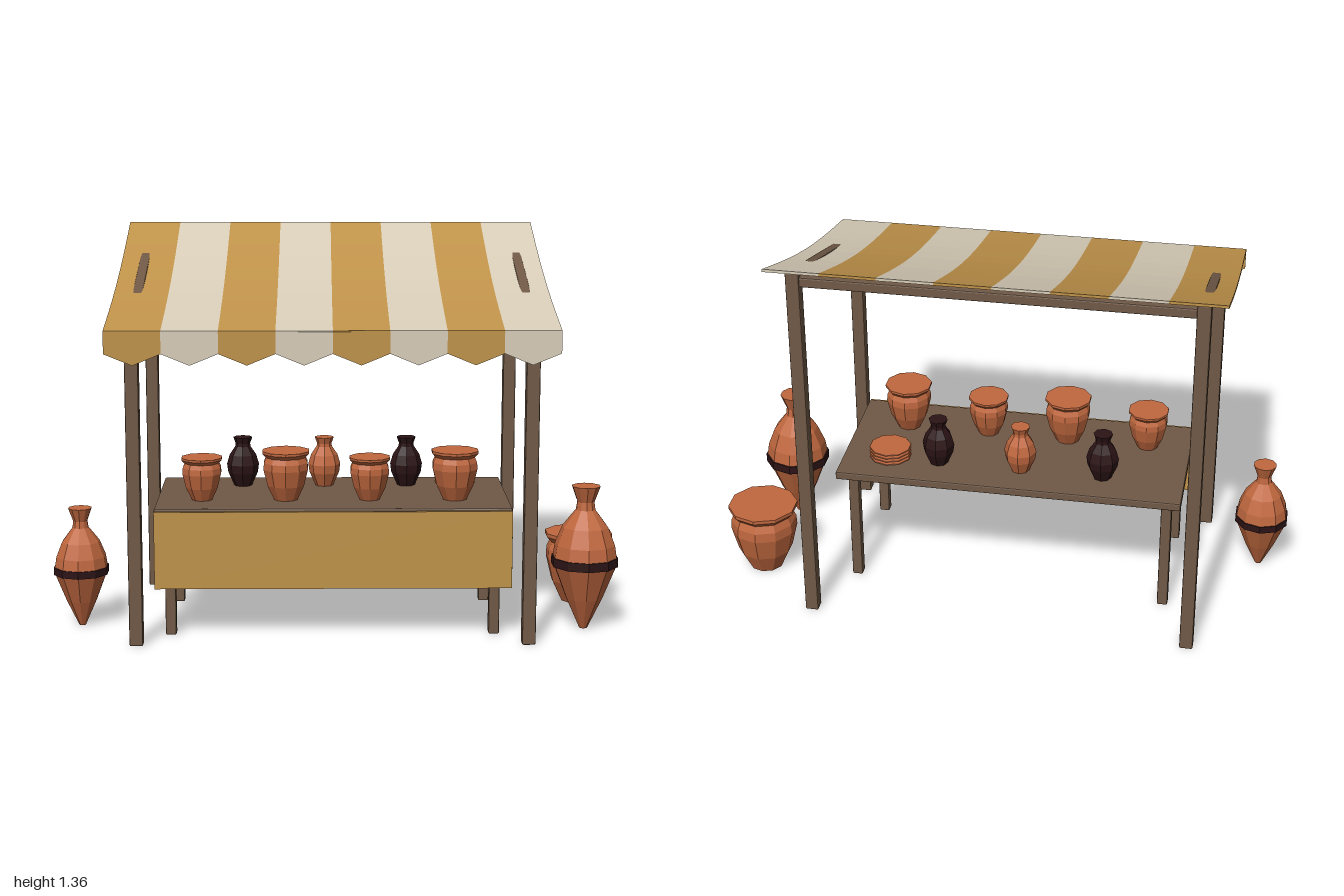
import * as THREE from 'three';
import { RoundedBoxGeometry } from 'three/addons/geometries/RoundedBoxGeometry.js';

const mat = (name, color) => {
  const m = new THREE.MeshStandardMaterial({ color, flatShading: true });
  m.name = name;
  return m;
};

export function createModel() {
  const wood = mat('wood', 0x705946);
  const ochre = mat('ochre cloth', 0xc0934a);
  const cream = mat('cream cloth', 0xd8cdb8);
  const clay = mat('terracotta', 0xc0683f);
  const dark = mat('dark glaze', 0x2c1416);

  const model = new THREE.Group();
  model.name = 'potteryStall';
  const add = (name, geometry, material, x = 0, y = 0, z = 0, parent = model) => {
    const mesh = new THREE.Mesh(geometry, material);
    mesh.name = name;
    mesh.position.set(x, y, z);
    parent.add(mesh);
    return mesh;
  };
  // Beam with chamfered edges
  const beam = (name, w, h, d, x, y, z) =>
    add(name, new RoundedBoxGeometry(w, h, d, 1, 0.005), wood, x, y, z);

  const CX = -0.03; // middle of the stall

  // Frame: posts, sloping side rails, cross rails
  for (const s of [-1, 1]) {
    const x = CX + s * 0.663;
    beam('frontPost', 0.046, 1.095, 0.046, x, 0.5475, 0.377);
    beam('backPost', 0.046, 1.325, 0.046, x, 0.6625, -0.42);
    beam('sideRail', 0.035, 0.035, 0.828, x, 1.1893, -0.022).rotation.x = 0.281;
  }
  beam('frontRail', 1.326, 0.035, 0.035, CX, 1.073, 0.377);
  beam('backRail', 1.326, 0.035, 0.035, CX, 1.29, -0.42);

  // Sagging awning in alternating stripes, with a pointed valance
  const STRIPES = 8, LEFT = -0.772, W = 1.484 / STRIPES, SEG = 10;
  const roofY = (z) => 1.2175 - 0.275 * z - 0.025 * Math.cos(Math.PI * z);
  const top = [], under = [];
  for (let i = 0; i <= SEG; i++) {
    const z = 0.5 - i / SEG;
    top.push(new THREE.Vector2(-z, roofY(z) + 0.005));
    under.unshift(new THREE.Vector2(-z, roofY(z) - 0.005));
  }
  const roofShape = new THREE.Shape([...top, ...under]);
  const roofGeo = new THREE.ExtrudeGeometry(roofShape, { depth: W, bevelEnabled: false });
  roofGeo.rotateY(Math.PI / 2);
  const flapShape = new THREE.Shape([
    new THREE.Vector2(0, 1.082), new THREE.Vector2(0, 1.01),
    new THREE.Vector2(W / 2, 0.972), new THREE.Vector2(W, 1.01),
    new THREE.Vector2(W, 1.082),
  ]);
  const flapGeo = new THREE.ExtrudeGeometry(flapShape, { depth: 0.008, bevelEnabled: false });
  for (let i = 0; i < STRIPES; i++) {
    const cloth = i % 2 ? cream : ochre;
    add('awningStripe', roofGeo, cloth, LEFT + i * W);
    add('valanceFlap', flapGeo, cloth, LEFT + i * W, 0, 0.494);
  }

  // Table with a cloth hanging at the front
  beam('tableTop', 1.218, 0.03, 0.525, CX + 0.003, 0.435, 0.03);
  for (const x of [-0.585, 0.526])
    for (const z of [0.246, -0.182]) beam('tableLeg', 0.037, 0.425, 0.037, x, 0.2125, z);
  add('tableCloth', new THREE.BoxGeometry(1.218, 0.268, 0.008), ochre, CX + 0.003, 0.308, 0.303);

  // Turned pottery: profiles of [radius, height], closed at both ends
  const turn = (profile, sides) => {
    const pts = profile.map(([r, y]) => new THREE.Vector2(r, y));
    pts.unshift(new THREE.Vector2(0, profile[0][1]));
    pts.push(new THREE.Vector2(0, profile[profile.length - 1][1]));
    return new THREE.LatheGeometry(pts, sides);
  };
  const potGeo = turn([[0.062, 0], [0.098, 0.075], [0.119, 0.16], [0.117, 0.195],
    [0.105, 0.222], [0.124, 0.242], [0.124, 0.255]], 10);
  const vaseGeo = turn([[0.032, 0], [0.053, 0.048], [0.057, 0.078], [0.047, 0.112],
    [0.027, 0.142], [0.026, 0.153], [0.034, 0.175]], 8);
  const amphoraGeo = turn([[0.014, 0], [0.065, 0.11], [0.11, 0.225], [0.112, 0.255],
    [0.105, 0.3], [0.08, 0.362], [0.034, 0.422], [0.03, 0.45], [0.05, 0.505]], 10);
  const bandGeo = turn([[0.117, 0.225], [0.117, 0.256]], 10);
  const plateGeo = turn([[0.05, 0], [0.075, 0.0105], [0.073, 0.0125]], 10);

  const TABLE = 0.45;
  // Front row of pots
  [[-0.48, 0.585], [-0.19, 0.675], [0.1, 0.585], [0.395, 0.675]].forEach(([x, s]) =>
    add('tablePot', potGeo, clay, x, TABLE, 0.137).scale.setScalar(s));
  // Back row of vases
  add('darkVase', vaseGeo, dark, -0.347, TABLE, -0.1);
  add('clayVase', vaseGeo, clay, -0.056, TABLE, -0.1);
  add('darkVase', vaseGeo, dark, 0.237, TABLE, -0.1);
  // Stack of plates
  for (let i = 0; i < 4; i++) add('plate', plateGeo, clay, 0.412, TABLE + i * 0.0125, -0.1);

  // Vessels on the ground
  const amphora = (x, z, s) => {
    const g = new THREE.Group();
    g.name = 'amphora';
    add('amphoraBody', amphoraGeo, clay, 0, 0, 0, g);
    add('amphoraBand', bandGeo, dark, 0, 0, 0, g);
    g.position.set(x, 0, z);
    g.scale.setScalar(s);
    model.add(g);
  };
  amphora(-0.905, 0.13, 0.83);
  amphora(0.845, 0.187, 1);
  add('largePot', potGeo, clay, 0.873, 0, -0.183);

  return model;
}
